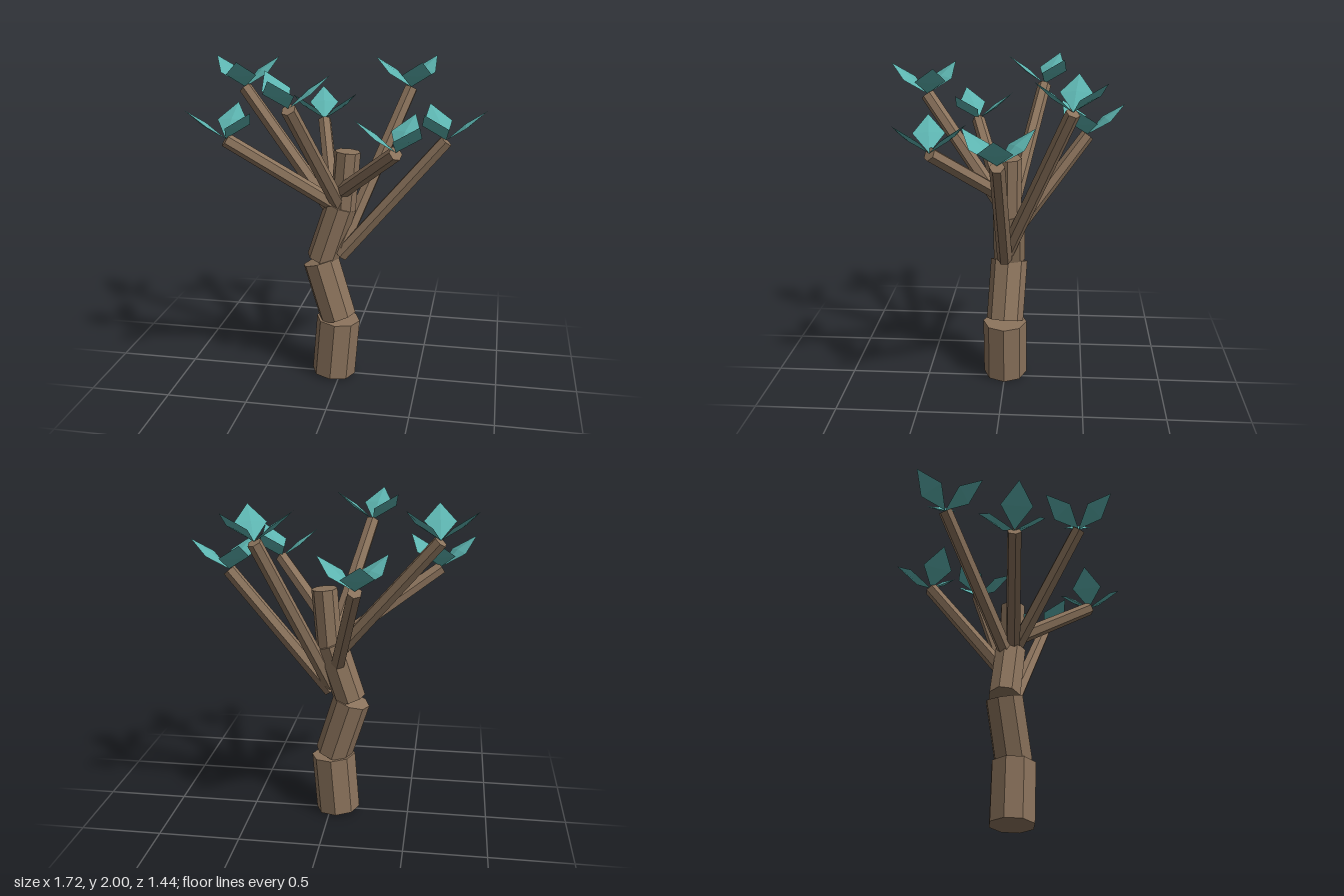
import * as THREE from 'three';

const bark = new THREE.MeshStandardMaterial({ color: 0x8b735c, flatShading: true });
bark.name = 'brown bark';
const foliage = new THREE.MeshStandardMaterial({ color: 0x5cb3af, flatShading: true });
foliage.name = 'teal leaf';

const UP = new THREE.Vector3(0, 1, 0);

// Faceted log running between two points
function log(name, from, to, rBottom, rTop, sides) {
  const a = new THREE.Vector3(...from), b = new THREE.Vector3(...to);
  const dir = b.clone().sub(a);
  const mesh = new THREE.Mesh(new THREE.CylinderGeometry(rTop, rBottom, dir.length(), sides), bark);
  mesh.name = name;
  mesh.position.copy(a).add(b).multiplyScalar(0.5);
  mesh.quaternion.setFromUnitVectors(UP, dir.normalize());
  return mesh;
}

// Flat faceted diamond with its stalk end at the origin, pointing along +x
const LEAF_LENGTH = 0.295;
const leafGeometry = new THREE.OctahedronGeometry(1)
  .scale(LEAF_LENGTH / 2, 0.013, 0.094)
  .translate(LEAF_LENGTH / 2, 0, 0);

export function createModel() {
  const tree = new THREE.Group();
  tree.name = 'tree';

  // Crooked trunk of stacked logs: bottom, top, radius
  const trunk = [
    [[-0.047, 0.017, 0], [-0.016, 0.39, 0], 0.139],
    [[-0.018, 0.402, 0], [-0.132, 0.768, -0.02], 0.117],
    [[-0.122, 0.78, -0.022], [-0.005, 1.135, -0.026], 0.1],
    [[0.008, 1.11, -0.022], [0.038, 1.478, -0.025], 0.08],
  ];
  trunk.forEach(([from, to, r], i) => tree.add(log(`trunkSegment${i + 1}`, from, to, r, r, 8)));

  // Seven branches around the trunk: base, tip
  const branches = [
    [[0.0, 0.82, 0], [0.63, 1.57, 0]],
    [[-0.01, 1.22, 0], [0.38, 1.575, 0.4]],
    [[-0.01, 1.14, 0], [-0.2, 1.815, 0.49]],
    [[-0.03, 1.14, 0], [-0.65, 1.575, 0.22]],
    [[-0.03, 1.06, -0.02], [-0.65, 1.815, -0.22]],
    [[-0.03, 0.94, -0.02], [-0.2, 1.575, -0.5]],
    [[0.0, 0.86, -0.01], [0.375, 1.815, -0.4]],
  ];
  branches.forEach(([from, to], i) => {
    tree.add(log(`branch${i + 1}`, from, to, 0.047, 0.043, 6));

    // Three leaves spread from the tip
    const tuft = new THREE.Group();
    tuft.name = `leafTuft${i + 1}`;
    tuft.position.set(to[0], to[1] + 0.005, to[2]);
    for (let j = 0; j < 3; j++) {
      const leaf = new THREE.Mesh(leafGeometry, foliage);
      leaf.name = 'leaf';
      leaf.rotation.order = 'YZX';
      leaf.rotation.set(0, -(i / 7 + j / 3) * Math.PI * 2, 0.66);
      tuft.add(leaf);
    }
    tree.add(tuft);
  });

  return tree;
}
